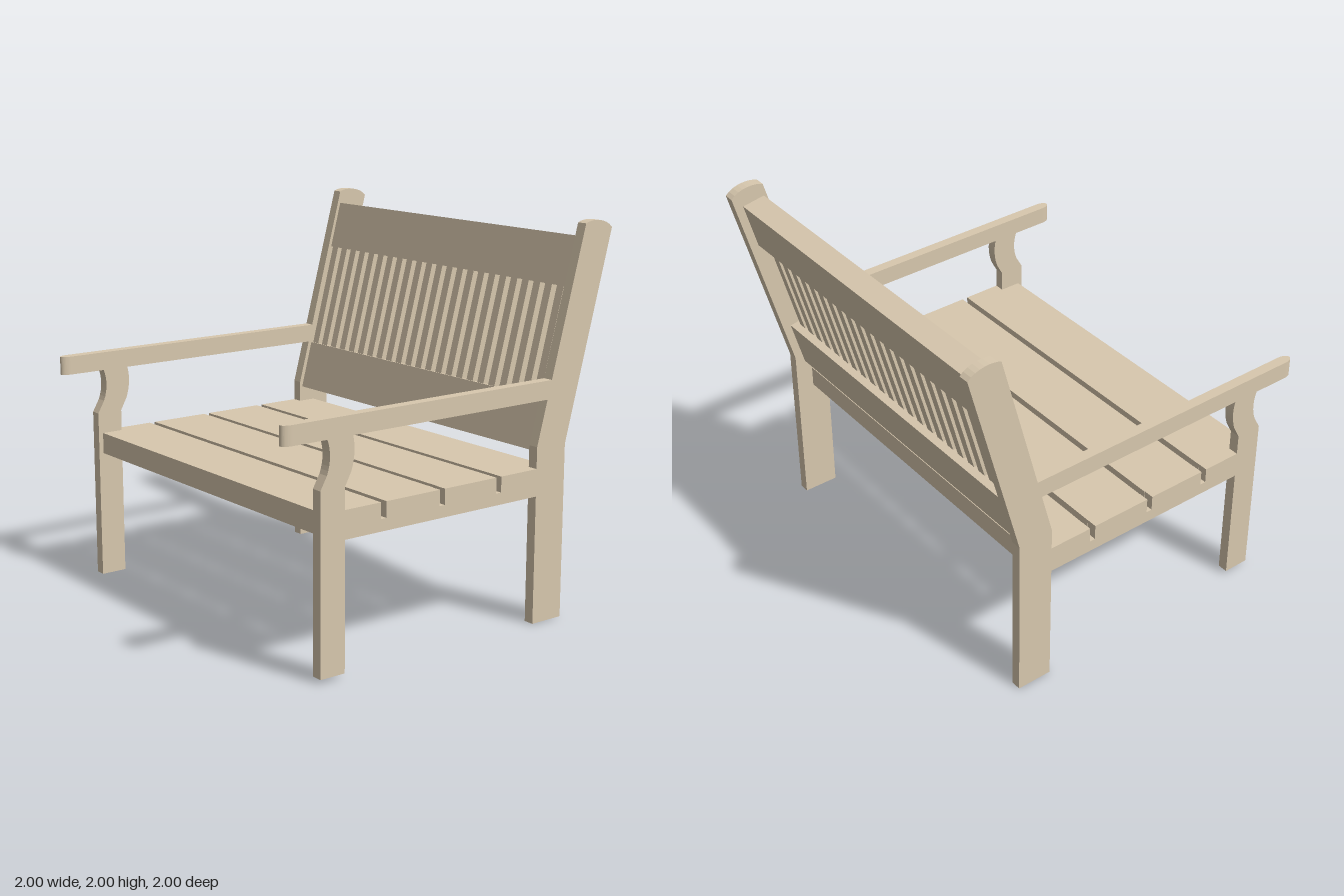
import * as THREE from 'three';

export function createModel() {
  const bench = new THREE.Group();
  bench.name = 'gardenBench';
  const wood = new THREE.MeshStandardMaterial({ color: 0xd8c8ae });
  const INNER = 0.945, POST = 0.055;

  const add = (name, geometry) => {
    const mesh = new THREE.Mesh(geometry, wood);
    mesh.name = name;
    bench.add(mesh);
    return mesh;
  };
  // Side profile drawn in (z, y), extruded from x0 to x0 + width
  const sidePart = (name, shape, x0, width) => {
    const g = new THREE.ExtrudeGeometry(shape, { depth: width, bevelEnabled: false, curveSegments: 8 });
    g.rotateY(-Math.PI / 2);
    g.translate(x0 + width, 0, 0);
    return add(name, g);
  };
  const polygon = (pts) => new THREE.Shape(pts.map(([a, b]) => new THREE.Vector2(a, b)));

  // Back post: upright leg, then leaning back to a rounded top
  const backPost = new THREE.Shape();
  backPost.moveTo(-0.53, 0);
  backPost.lineTo(-0.53, 0.91);
  backPost.lineTo(-0.82, 1.985);
  backPost.bezierCurveTo(-0.86, 2.005, -0.955, 2.005, -1, 1.955);
  backPost.lineTo(-0.72, 0.9);
  backPost.lineTo(-0.72, 0);

  // Front leg with a curved neck under the arm
  const frontLeg = new THREE.Shape();
  frontLeg.moveTo(0.66, 0.02);
  frontLeg.lineTo(0.8, 0.02);
  frontLeg.lineTo(0.8, 0.91);
  frontLeg.lineTo(0.763, 0.975);
  frontLeg.quadraticCurveTo(0.73, 1.06, 0.76, 1.14);
  frontLeg.lineTo(0.615, 1.14);
  frontLeg.quadraticCurveTo(0.595, 1.06, 0.625, 0.975);
  frontLeg.lineTo(0.66, 0.91);

  // Side rail, notched where the seat boards part
  const railPts = [[-0.53, 0.66], [0.66, 0.66], [0.66, 0.8]];
  for (const z of [0.435, 0.08, -0.28]) {
    railPts.push([z + 0.016, 0.8], [z + 0.016, 0.72], [z - 0.016, 0.72], [z - 0.016, 0.8]);
  }
  railPts.push([-0.53, 0.8]);
  const rail = polygon(railPts);

  for (const [side, x0] of [['left', INNER], ['right', -1]]) {
    sidePart(side + 'BackPost', backPost, x0, POST);
    sidePart(side + 'FrontLeg', frontLeg, x0, POST);
    sidePart(side + 'SeatRail', rail, x0, POST);

    // Armrest drawn in plan, with a rounded front end
    const arm = new THREE.Shape();
    arm.moveTo(x0, -0.618);
    arm.lineTo(x0 + POST, -0.618);
    arm.lineTo(x0 + POST, 0.95);
    arm.absellipse(x0 + POST / 2, 0.95, POST / 2, 0.05, 0, Math.PI, false);
    arm.lineTo(x0, -0.618);
    const g = new THREE.ExtrudeGeometry(arm, { depth: 0.095, bevelEnabled: false, curveSegments: 10 });
    g.rotateX(Math.PI / 2);
    g.translate(0, 1.235, 0);
    add(side + 'Armrest', g);
  }

  // Seat boards
  for (const [z0, z1] of [[0.45, 0.775], [0.093, 0.418], [-0.265, 0.062], [-0.625, -0.297]]) {
    const board = add('seatBoard', new THREE.BoxGeometry(INNER * 2, 0.11, z1 - z0));
    board.position.set(0, 0.745, (z0 + z1) / 2);
  }

  // Leaning back: front plane z at height y, and a slanted section d0..d1 behind it
  const frontZ = (y) => -0.545 - 0.265 * (y - 0.883);
  const leaning = (y0, y1, d0, d1) => {
    const at = (y, d) => [frontZ(y) - d, y - d * 0.18];
    return polygon([at(y0, d1), at(y0, d0), at(y1, d0), at(y1, d1)]);
  };
  sidePart('lowerBackBoard', leaning(0.883, 1.135, 0, 0.12), -INNER, INNER * 2);
  sidePart('upperBackBoard', leaning(1.675, 1.92, 0, 0.12), -INNER, INNER * 2);

  // Back slats
  const slat = leaning(1.12, 1.69, 0.012, 0.08);
  const count = 23, width = 0.047;
  for (let i = 0; i < count; i++) {
    const x = -0.92 + (1.81 * i) / (count - 1);
    sidePart('backSlat', slat, x - width / 2, width);
  }
  return bench;
}
